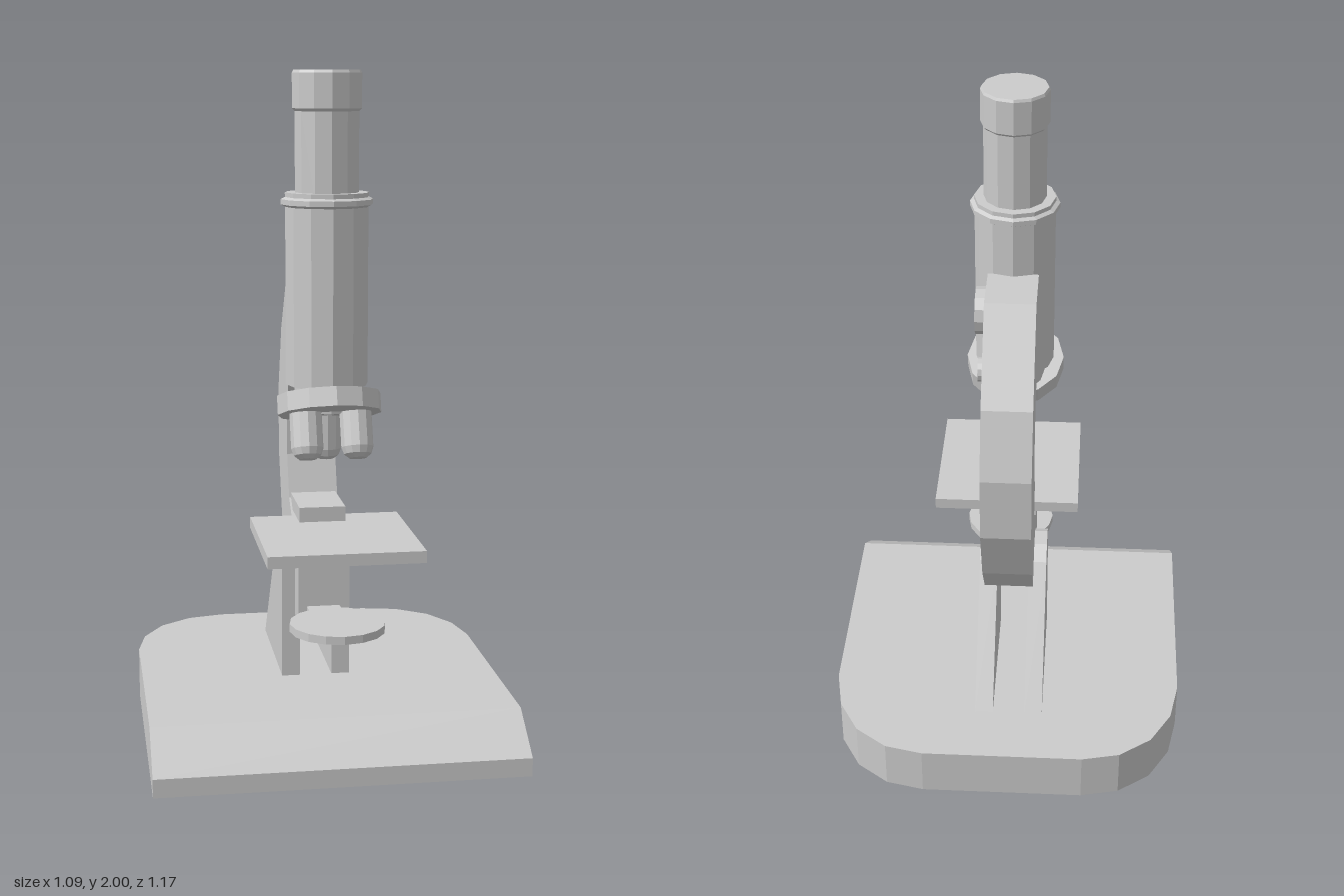
import * as THREE from 'three';

const material = new THREE.MeshStandardMaterial({ color: 0xcccccc, flatShading: true });
const SIDES = 12;
const TUBE_Z = 0.215;

export function createModel() {
  const model = new THREE.Group();
  model.name = 'microscope';

  const add = (name, geometry, x = 0, y = 0, z = 0) => {
    const mesh = new THREE.Mesh(geometry, material);
    mesh.name = name;
    mesh.position.set(x, y, z);
    model.add(mesh);
    return mesh;
  };
  const polygon = (points) => new THREE.Shape(points.map(([a, b]) => new THREE.Vector2(a, b)));
  const extrude = (points, depth) =>
    new THREE.ExtrudeGeometry(polygon(points), { depth, bevelEnabled: false });

  // Side profile given as [z, y], spanning x0 to x1
  const sidePlate = (name, points, x0, x1) =>
    add(name, extrude(points, x1 - x0).rotateY(-Math.PI / 2).translate(x1, 0, 0));
  // Box given by its limits
  const block = (name, x0, x1, y0, y1, z0, z1) =>
    add(name, new THREE.BoxGeometry(x1 - x0, y1 - y0, z1 - z0),
      (x0 + x1) / 2, (y0 + y1) / 2, (z0 + z1) / 2);
  // Turned part given as [radius, y]
  const turned = (points) =>
    new THREE.LatheGeometry(points.map(([r, y]) => new THREE.Vector2(r, y)), SIDES);

  // Base: rounded back and sloping front edge; outline as [x, -z]
  const corner = [[0.545, 0.25], [0.52, 0.38], [0.457, 0.488], [0.36, 0.558], [0.245, 0.583]];
  const outline = [[-0.545, -0.44], [0.545, -0.44], ...corner,
    ...corner.map(([x, y]) => [-x, y]).reverse()];
  add('base', extrude(outline, 0.155).rotateX(-Math.PI / 2));
  sidePlate('baseFront', [[0.44, 0], [0.583, 0], [0.583, 0.055], [0.44, 0.155]], -0.545, 0.545);

  // Two uprights that carry the arm
  const upright = [[0.065, 0.15], [0.065, 0.525], [0.035, 0.56], [0, 0.577],
    [-0.055, 0.567], [-0.1, 0.53], [-0.395, 0.15]];
  sidePlate('rightUpright', upright, -0.116, -0.06);
  sidePlate('leftUpright', upright, 0.038, 0.094);

  // Curved arm
  sidePlate('arm', [
    [0.15, 0.33], [0.15, 0.625], [0.02, 0.625], [-0.065, 0.69], [-0.11, 0.82],
    [-0.11, 0.97], [-0.06, 1.105], [0.015, 1.165], [0.11, 1.15], [0.11, 1.45],
    [-0.065, 1.45], [-0.25, 1.2], [-0.325, 1.0], [-0.325, 0.795], [-0.25, 0.6],
    [-0.155, 0.475], [0, 0.375],
  ], -0.076, 0.076);

  // Focus knobs on the left side
  const knob = (name, r, x1, y, z) =>
    add(name, new THREE.CylinderGeometry(r, r, x1 - 0.06, SIDES).rotateZ(Math.PI / 2),
      (x1 + 0.06) / 2, y, z);
  knob('coarseFocusKnob', 0.071, 0.107, 1.368, 0.035);
  knob('fineFocusKnob', 0.037, 0.098, 1.2, -0.027);

  // Stage, its bracket and the disc beneath
  block('stage', -0.21, 0.245, 0.625, 0.66, 0.042, 0.5);
  block('stageBracket', -0.07, 0.07, 0.66, 0.705, -0.068, 0.13);
  add('condenserDisc', new THREE.CylinderGeometry(0.142, 0.142, 0.024, 16), 0.018, 0.39, 0.313);
  block('condenserBracket', -0.05, 0.05, 0.378, 0.402, 0.14, 0.22);

  // Body tube, stepped ring and eyepiece
  add('bodyTube', turned([
    [0, 1.1], [0.121, 1.1], [0.121, 1.615], [0.134, 1.622], [0.134, 1.637],
    [0.122, 1.643], [0.122, 1.656], [0, 1.656],
  ]), 0, 0, TUBE_Z);
  add('eyepiece', turned([
    [0.093, 1.64], [0.093, 1.885], [0.101, 1.893], [0.101, 1.992], [0.097, 2], [0, 2],
  ]), 0, 0, TUBE_Z);
  add('tubeCollar', new THREE.CylinderGeometry(0.095, 0.095, 0.085, SIDES), 0, 1.067, TUBE_Z);

  // Tilted turret with three rounded lenses
  const turret = add('turret', new THREE.CylinderGeometry(0.152, 0.152, 0.056, SIDES), 0, 1.047, 0.266);
  turret.rotation.x = -0.339;
  const lens = turned([[0, 0], [0.025, 0.003], [0.04, 0.015], [0.047, 0.035], [0.047, 0.15], [0, 0.15]]);
  for (const [name, x, y, z, tilt] of [
    ['rearLens', 0, 0.87, 0.197, 0],
    ['leftLens', 0.073, 0.897, 0.338, -0.36],
    ['rightLens', -0.073, 0.897, 0.338, -0.36],
  ]) add(name, lens, x, y, z).rotation.x = tilt;

  return model;
}
